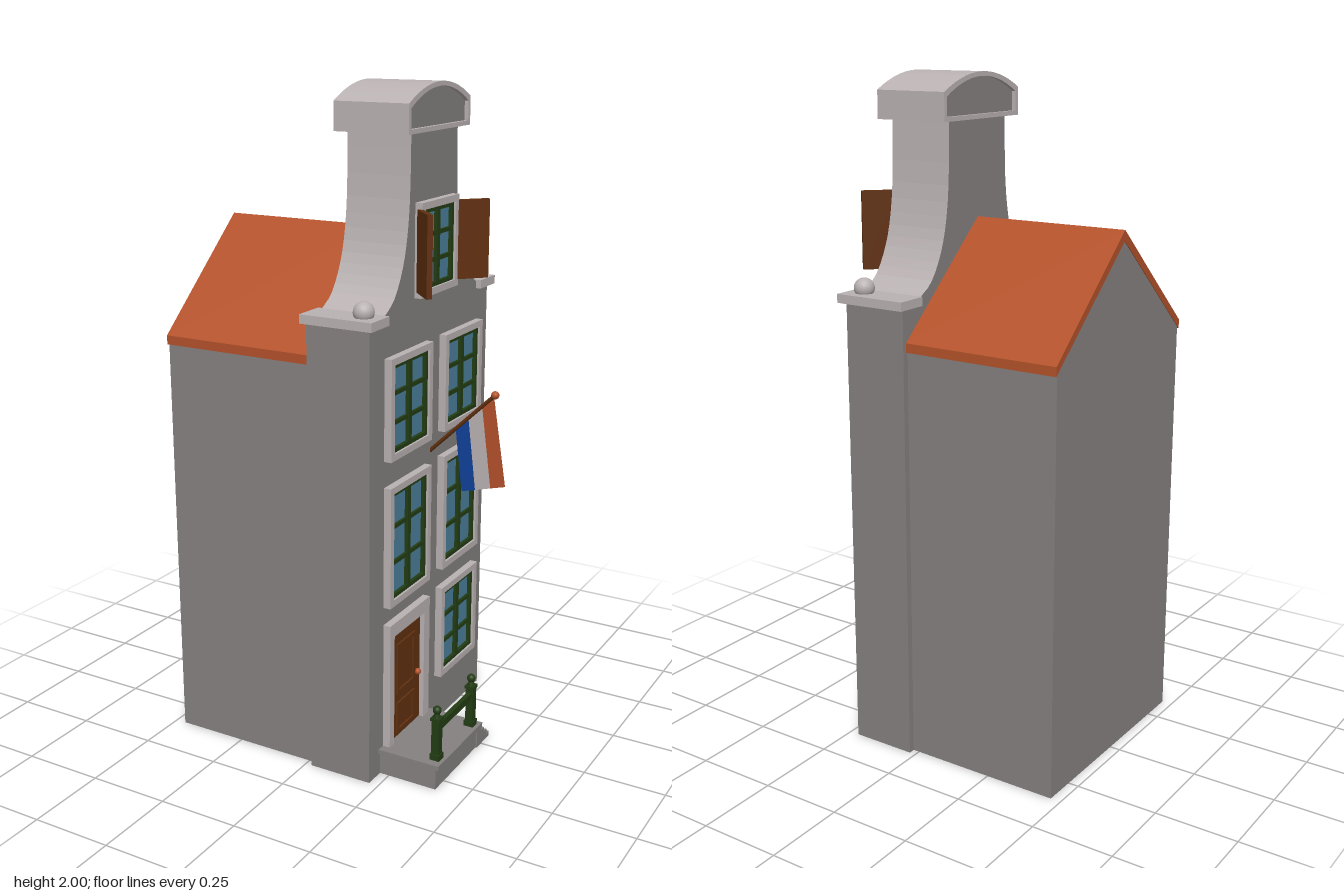
import * as THREE from 'three';

const mat = (name, color) => {
  const m = new THREE.MeshStandardMaterial({ color });
  m.name = name;
  return m;
};

export function createModel() {
  const wall = mat('grey wall', 0x858180);
  const trim = mat('pale stone', 0xbab2b2);
  const orange = mat('orange', 0xb3522a);
  const wood = mat('brown wood', 0x61300f);
  const green = mat('dark green', 0x223d14);
  const glass = mat('blue glass', 0x4b7f9b);
  const blue = mat('flag blue', 0x0f429a);

  // Built facing +z, then turned so the facade faces +x.
  const house = new THREE.Group();
  house.name = 'canalHouse';

  const add = (name, geo, material, parent = house) => {
    const mesh = new THREE.Mesh(geo, material);
    mesh.name = name;
    parent.add(mesh);
    return mesh;
  };
  // Box from its limits on each axis
  const box = (name, x0, x1, y0, y1, z0, z1, material, parent) => {
    const m = add(name, new THREE.BoxGeometry(x1 - x0, y1 - y0, z1 - z0), material, parent);
    m.position.set((x0 + x1) / 2, (y0 + y1) / 2, (z0 + z1) / 2);
    return m;
  };
  const poly = (pts) => new THREE.Shape(pts.map(([x, y]) => new THREE.Vector2(x, y)));
  const extrude = (name, shape, z0, z1, material, parent) => {
    const geo = new THREE.ExtrudeGeometry(shape, { depth: z1 - z0, bevelEnabled: false });
    geo.translate(0, 0, z0);
    return add(name, geo, material, parent);
  };
  const rect = (x0, x1, y0, y1) => [[x0, y0], [x1, y0], [x1, y1], [x0, y1]];
  const ball = (name, r, x, y, z, material, parent) =>
    add(name, new THREE.SphereGeometry(r, 20, 14), material, parent).position.set(x, y, z);
  const mirrored = (half) => [...half, ...half.slice().reverse().map(([x, y]) => [-x, y])];

  // Rear house and its roof
  extrude('rearHouse', poly([[-0.35, 0], [0.35, 0], [0.35, 1.26], [0, 1.57], [-0.35, 1.26]]), -0.468, 0.03, wall);
  extrude('roof', poly([[-0.357, 1.245], [0, 1.555], [0.357, 1.245], [0.357, 1.272], [0, 1.586], [-0.357, 1.272]]),
    -0.47, 0.025, orange);

  // Facade and curved neck gable with pale coping
  box('facade', -0.37, 0.37, 0, 1.385, 0.02, 0.22, wall);
  const curve = new THREE.SplineCurve([[0.29, 1.39], [0.235, 1.425], [0.19, 1.495], [0.162, 1.58], [0.146, 1.7], [0.142, 1.88]]
    .map(([x, y]) => new THREE.Vector2(x, y)));
  const side = curve.getPoints(14).map((p) => [p.x, p.y]);
  extrude('neckGable', poly(mirrored([[0.29, 1.38], ...side])), 0.02, 0.22, [wall, trim]);

  // Shoulder cornices with stone balls
  for (const s of [-1, 1]) {
    box('shoulderCornice', s * 0.34 - 0.05, s * 0.34 + 0.05, 1.368, 1.394, 0.01, 0.237, trim);
    ball('stoneBall', 0.03, s * 0.335, 1.408, 0.182, trim);
  }

  // Arched pediment with a raised rim on the front and back
  const arch = (inset) => {
    const pts = [[0.188 - inset, 1.868 + inset]];
    for (let i = 0; i <= 7; i++) {
      const t = 1 - i / 7;
      pts.push([(0.188 - inset) * t, 2 - inset - 0.05 * t * t]);
    }
    return mirrored(pts).filter((p, i) => i !== 9);
  };
  const rim = poly(arch(0));
  rim.holes.push(poly(arch(0.013)));
  extrude('pedimentRim', rim, 0.003, 0.237, trim);
  extrude('pediment', poly(arch(0.005)), 0.015, 0.225, [wall, trim]);

  // Windows: stone surround, green frame and bars, glass
  const makeWindow = (x0, x1, y0, y1) => {
    const g = new THREE.Group();
    g.name = 'window';
    house.add(g);
    const ring = (name, inset, width, z1, material) => {
      const s = poly(rect(x0 + inset, x1 - inset, y0 + inset, y1 - inset));
      const k = inset + width;
      s.holes.push(poly(rect(x0 + k, x1 - k, y0 + k, y1 - k)));
      extrude(name, s, 0.215, z1, material, g);
    };
    ring('surround', 0, 0.02, 0.243, trim);
    ring('frame', 0.017, 0.015, 0.236, green);
    const a = x0 + 0.03, b = x1 - 0.03, c = y0 + 0.03, d = y1 - 0.03, m = (a + b) / 2;
    box('pane', a, b, c, d, 0.219, 0.225, glass, g);
    box('upright', m - 0.009, m + 0.009, c, d, 0.22, 0.236, green, g);
    for (const t of [0.32, 0.68]) {
      const y = c + (d - c) * t;
      box('bar', a, b, y - 0.006, y + 0.006, 0.22, 0.233, green, g);
    }
  };
  makeWindow(-0.287, -0.037, 0.975, 1.272);
  makeWindow(0.047, 0.297, 0.975, 1.272);
  makeWindow(-0.287, -0.037, 0.53, 0.897);
  makeWindow(0.047, 0.297, 0.53, 0.897);
  makeWindow(0.047, 0.297, 0.163, 0.467);
  makeWindow(-0.115, 0.115, 1.41, 1.678);

  // Open shutters of the attic window
  for (const s of [-1, 1]) {
    const hinge = new THREE.Group();
    hinge.name = 'shutter';
    hinge.position.set(s * 0.115, 0, 0.235);
    hinge.rotation.y = s > 0 ? -0.76 : Math.PI + 0.76;
    house.add(hinge);
    box('shutterBoard', 0, 0.1, 1.428, 1.66, -0.008, 0.008, wood, hinge);
  }

  // Door with surround, raised panels and knob
  const doorway = poly(rect(-0.287, -0.037, 0.07, 0.475));
  doorway.holes.push(poly(rect(-0.26, -0.072, 0.075, 0.433)));
  extrude('doorSurround', doorway, 0.215, 0.243, trim);
  box('door', -0.262, -0.07, 0.075, 0.435, 0.215, 0.228, wood);
  for (const [y0, y1] of [[0.225, 0.388], [0.095, 0.195]]) {
    const s = poly(rect(-0.222, -0.11, y0, y1));
    s.holes.push(poly(rect(-0.21, -0.122, y0 + 0.012, y1 - 0.012)));
    extrude('doorMoulding', s, 0.226, 0.234, wood);
  }
  ball('doorKnob', 0.01, -0.102, 0.25, 0.238, orange);

  // Stoop with side steps
  box('stoop', -0.305, -0.02, 0, 0.07, 0.2, 0.405, wall);
  box('stoopSlab', -0.313, -0.013, 0.068, 0.082, 0.2, 0.418, wall);
  for (let i = 0; i < 4; i++) {
    box('step', -0.03, 0.002 + i * 0.0185, 0, 0.062 - i * 0.0155, 0.2, 0.409, wall);
  }

  // Stoop railing
  for (const x of [-0.272, -0.043]) {
    box('postFoot', x - 0.015, x + 0.015, 0.08, 0.1, 0.376, 0.406, green);
    box('post', x - 0.012, x + 0.012, 0.08, 0.21, 0.379, 0.403, green);
    box('postCap', x - 0.015, x + 0.015, 0.208, 0.217, 0.376, 0.406, green);
    const neck = add('postNeck', new THREE.CylinderGeometry(0.006, 0.011, 0.02, 12), green);
    neck.position.set(x, 0.226, 0.391);
    ball('postBall', 0.013, x, 0.24, 0.391, green);
  }
  box('rail', -0.272, -0.043, 0.172, 0.195, 0.384, 0.398, green);

  // Flagpole
  const from = new THREE.Vector3(0, 0.925, 0.215), to = new THREE.Vector3(0, 1.127, 0.425);
  add('flagpole', new THREE.TubeGeometry(new THREE.LineCurve3(from, to), 1, 0.006, 10), wood);
  ball('flagpoleKnob', 0.012, to.x, to.y, to.z, orange);

  // Hanging flag in three bands, running along the pole
  const top = [[0.302, 1.008], [0.343, 1.043], [0.386, 1.084], [0.421, 1.118]];
  const low = [[0.325, 0.818], [0.369, 0.829], [0.418, 0.843], [0.463, 0.855]];
  [blue, trim, orange].forEach((m, i) => {
    const band = extrude('flagBand', poly([low[i], low[i + 1], top[i + 1], top[i]]), -0.002, 0.002, m);
    band.rotation.y = -Math.PI / 2;
  });

  house.rotation.y = Math.PI / 2;
  const model = new THREE.Group();
  model.name = 'model';
  model.add(house);
  return model;
}
